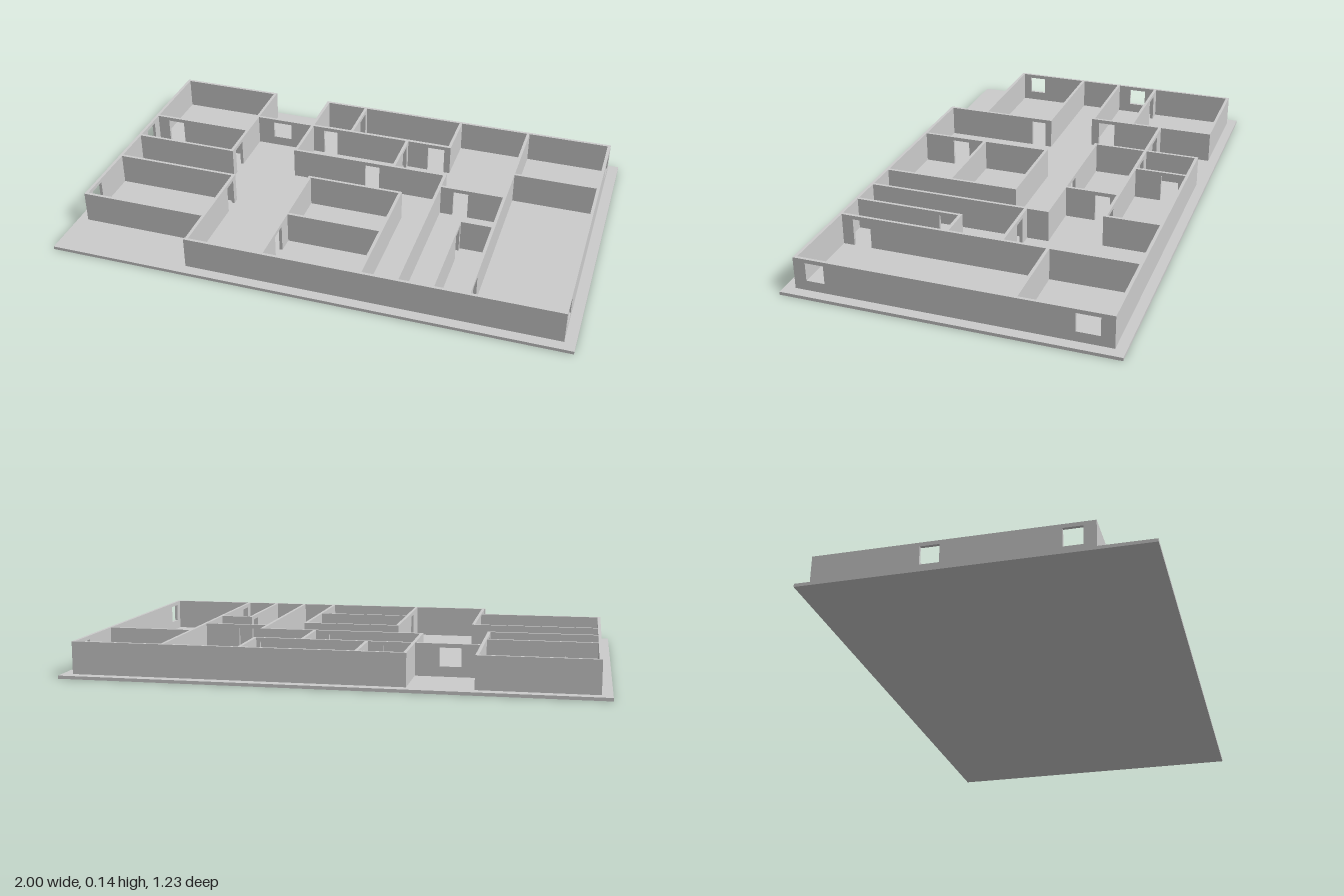
import * as THREE from 'three';

const FLOOR = 0.012, TOP = 0.135, T = 0.012;
const HEAD = 0.12, SILL = 0.05;

const material = new THREE.MeshStandardMaterial({ color: 0xcccccc, flatShading: true });

// An opening is [from, to] along the wall: doors reach the floor, windows have a sill.
// A wall runs along 'x' or 'z' from a to b at the fixed coordinate c.
function wall(name, axis, c, a, b, { doors = [], windows = [] } = {}) {
  const s = a - T / 2, e = b + T / 2;
  const shape = new THREE.Shape();
  shape.moveTo(s, FLOOR);
  for (const [p, q] of doors) {
    shape.lineTo(p, FLOOR);
    shape.lineTo(p, HEAD);
    shape.lineTo(q, HEAD);
    shape.lineTo(q, FLOOR);
  }
  shape.lineTo(e, FLOOR);
  shape.lineTo(e, TOP);
  shape.lineTo(s, TOP);
  shape.closePath();
  for (const [p, q] of windows) {
    const hole = new THREE.Path();
    hole.moveTo(p, SILL);
    hole.lineTo(p, HEAD);
    hole.lineTo(q, HEAD);
    hole.lineTo(q, SILL);
    hole.closePath();
    shape.holes.push(hole);
  }
  const geometry = new THREE.ExtrudeGeometry(shape, { depth: T, bevelEnabled: false });
  geometry.translate(0, 0, -T / 2);
  // Turn the drawing direction from +x to +z
  if (axis === 'z') geometry.rotateY(-Math.PI / 2).translate(c, 0, 0);
  else geometry.translate(0, 0, c);
  const mesh = new THREE.Mesh(geometry, material);
  mesh.name = name;
  return mesh;
}

export function createModel() {
  const house = new THREE.Group();
  house.name = 'floorPlan';

  // Base slab
  const slab = new THREE.Mesh(new THREE.BoxGeometry(2, FLOOR, 1.234), material);
  slab.name = 'baseSlab';
  slab.position.y = FLOOR / 2;
  house.add(slab);

  const walls = [
    // Outer walls
    ['frontWall', 'x', 0.57, -0.46, 0.953],
    ['backWall', 'x', -0.573, -0.283, 0.953],
    ['backWallCorner', 'x', -0.573, -0.955, -0.535],
    ['leftSideWall', 'z', 0.953, -0.573, 0.57, { windows: [[-0.53, -0.445], [0.46, 0.53]] }],
    ['rightSideWall', 'z', -0.955, -0.573, 0.408, { windows: [[-0.19, -0.12], [0.3, 0.37]] }],
    ['entranceWall', 'x', -0.36, -0.535, 0.32,
      { doors: [[-0.23, -0.17], [0.23, 0.3]], windows: [[-0.46, -0.38]] }],

    // Back corner rooms
    ['cornerRoomWall', 'z', -0.535, -0.573, -0.063, { doors: [[-0.16, -0.09]] }],
    ['cornerRoomDivider', 'x', -0.237, -0.955, -0.535, { doors: [[-0.9, -0.83]] }],
    ['cornerRoomEnd', 'x', -0.063, -0.955, -0.535],

    // Front corner room
    ['sideRoomBack', 'x', 0.11, -0.955, -0.46],
    ['sideRoomFront', 'x', 0.408, -0.955, -0.46],
    ['sideRoomWall', 'z', -0.457, 0.11, 0.57, { doors: [[0.13, 0.19]] }],

    // Back middle rooms
    ['middleRoomSide', 'z', -0.283, -0.573, -0.147],
    ['middleRoomDivider', 'z', -0.108, -0.573, -0.36, { doors: [[-0.54, -0.47]] }],
    ['middleRoomEnd', 'z', 0.32, -0.573, -0.36],
    ['hallDivider', 'z', 0.138, -0.36, -0.147, { doors: [[-0.33, -0.27]] }],
    ['hallWall', 'x', -0.147, -0.283, 0.353, { doors: [[0.02, 0.08]] }],

    // Central rooms
    ['centralRoomRight', 'z', -0.16, 0.03, 0.57, { doors: [[0.37, 0.44]] }],
    ['centralRoomLeft', 'z', 0.216, 0.03, 0.57],
    ['centralRoomBack', 'x', 0.03, -0.16, 0.216],
    ['centralRoomDivider', 'x', 0.3, -0.16, 0.216],

    // Passage and closet
    ['passageWall', 'z', 0.353, -0.147, 0.57],
    ['passageEnd', 'x', -0.063, 0.353, 0.613, { doors: [[0.41, 0.47]] }],
    ['closetSide', 'z', 0.483, 0.148, 0.57, { doors: [[0.17, 0.23]] }],
    ['closetBack', 'x', 0.148, 0.483, 0.613],

    // Large side rooms
    ['largeRoomWall', 'z', 0.613, -0.573, 0.57, { doors: [[0.45, 0.52]] }],
    ['largeRoomDivider', 'x', -0.237, 0.613, 0.953],
  ];
  for (const w of walls) house.add(wall(...w));

  return house;
}
